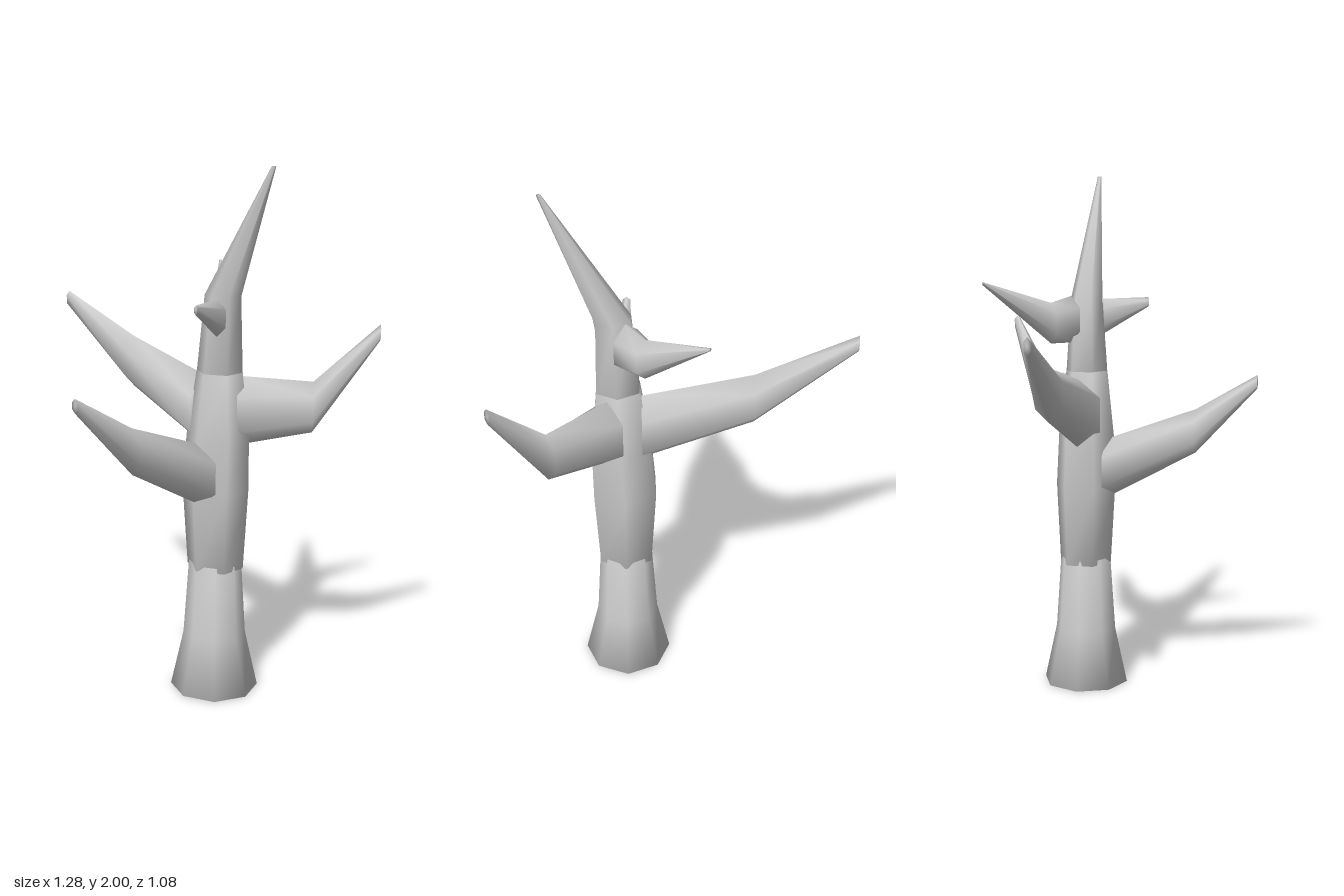
import * as THREE from 'three';

// Smooth closed loft. Rings are [x, y, z, halfWidth, halfDepth];
// u and v span the ring plane and u x v points along the loft.
function loft(name, rings, u, v, sides) {
  const pos = [], idx = [];
  const fit = sides === 6 ? Math.cos(Math.PI / 6) : 1;
  for (const [x, y, z, hu, hv] of rings) {
    for (let i = 0; i < sides; i++) {
      const a = (i / sides) * Math.PI * 2;
      const p = new THREE.Vector3(x, y, z)
        .addScaledVector(u, (-Math.sin(a) * hu) / fit)
        .addScaledVector(v, Math.cos(a) * hv);
      pos.push(p.x, p.y, p.z);
    }
  }
  const last = (rings.length - 1) * sides;
  const start = rings.length * sides, end = start + 1;
  pos.push(...rings[0].slice(0, 3), ...rings[rings.length - 1].slice(0, 3));
  for (let i = 0; i < sides; i++) {
    const k = (i + 1) % sides;
    for (let r = 0; r < last; r += sides) {
      idx.push(r + i, r + k, r + sides + k, r + i, r + sides + k, r + sides + i);
    }
    idx.push(start, k, i, end, last + i, last + k);
  }
  const geo = new THREE.BufferGeometry();
  geo.setAttribute('position', new THREE.Float32BufferAttribute(pos, 3));
  geo.setIndex(idx);
  geo.computeVertexNormals();
  const mesh = new THREE.Mesh(geo, new THREE.MeshStandardMaterial({ color: 0xcccccc }));
  mesh.name = name;
  return mesh;
}

// Upright trunk piece with horizontal rings
const trunk = (name, rings, sides) =>
  loft(name, rings, new THREE.Vector3(1, 0, 0), new THREE.Vector3(0, 0, -1), sides);

// Branch with upright rings facing its horizontal heading
function branch(name, rings) {
  const a = rings[0], b = rings[rings.length - 1];
  const up = new THREE.Vector3(0, 1, 0);
  const heading = new THREE.Vector3(b[0] - a[0], 0, b[2] - a[2]).normalize();
  return loft(name, rings, up.clone().cross(heading), up, 6);
}

export function createModel() {
  const tree = new THREE.Group();
  tree.name = 'bareTree';

  // Trunk in three stacked pieces
  tree.add(
    trunk('trunkBase', [
      [0.2, 0, -0.135, 0.167, 0.168],
      [0.198, 0.22, -0.135, 0.117, 0.12],
      [0.198, 0.51, -0.135, 0.099, 0.1],
    ], 8),
    trunk('trunkMiddle', [
      [0.198, 0.49, -0.135, 0.097, 0.102],
      [0.196, 0.8, -0.133, 0.115, 0.118],
      [0.205, 1.0, -0.133, 0.108, 0.11],
      [0.212, 1.25, -0.132, 0.078, 0.082],
    ], 6),
    trunk('trunkTop', [
      [0.212, 1.23, -0.132, 0.078, 0.083],
      [0.222, 1.53, -0.134, 0.062, 0.062],
      [0.454, 2.0, -0.135, 0.007, 0.007],
    ], 6),
  );

  // Large branches
  tree.add(
    branch('frontBranch', [
      [0.198, 0.867, -0.05, 0.082, 0.117],
      [0.208, 1.025, 0.3, 0.048, 0.085],
      [0.185, 1.224, 0.537, 0.015, 0.026],
    ]),
    branch('rightBranch', [
      [0.13, 1.085, -0.142, 0.08, 0.135],
      [-0.275, 1.21, -0.155, 0.052, 0.1],
      [-0.64, 1.418, -0.13, 0.014, 0.032],
    ]),
    branch('backLeftBranch', [
      [0.25, 1.098, -0.19, 0.08, 0.132],
      [0.46, 1.118, -0.37, 0.045, 0.096],
      [0.632, 1.4, -0.533, 0.014, 0.03],
    ]),
  );

  // Small twigs near the top
  tree.add(
    branch('frontTwig', [
      [0.25, 1.458, -0.075, 0.035, 0.068],
      [0.312, 1.513, 0.093, 0.007, 0.018],
    ]),
    branch('backTwig', [
      [0.18, 1.45, -0.185, 0.06, 0.09],
      [0.115, 1.438, -0.25, 0.042, 0.078],
      [-0.098, 1.596, -0.453, 0.005, 0.006],
    ]),
  );
  return tree;
}
